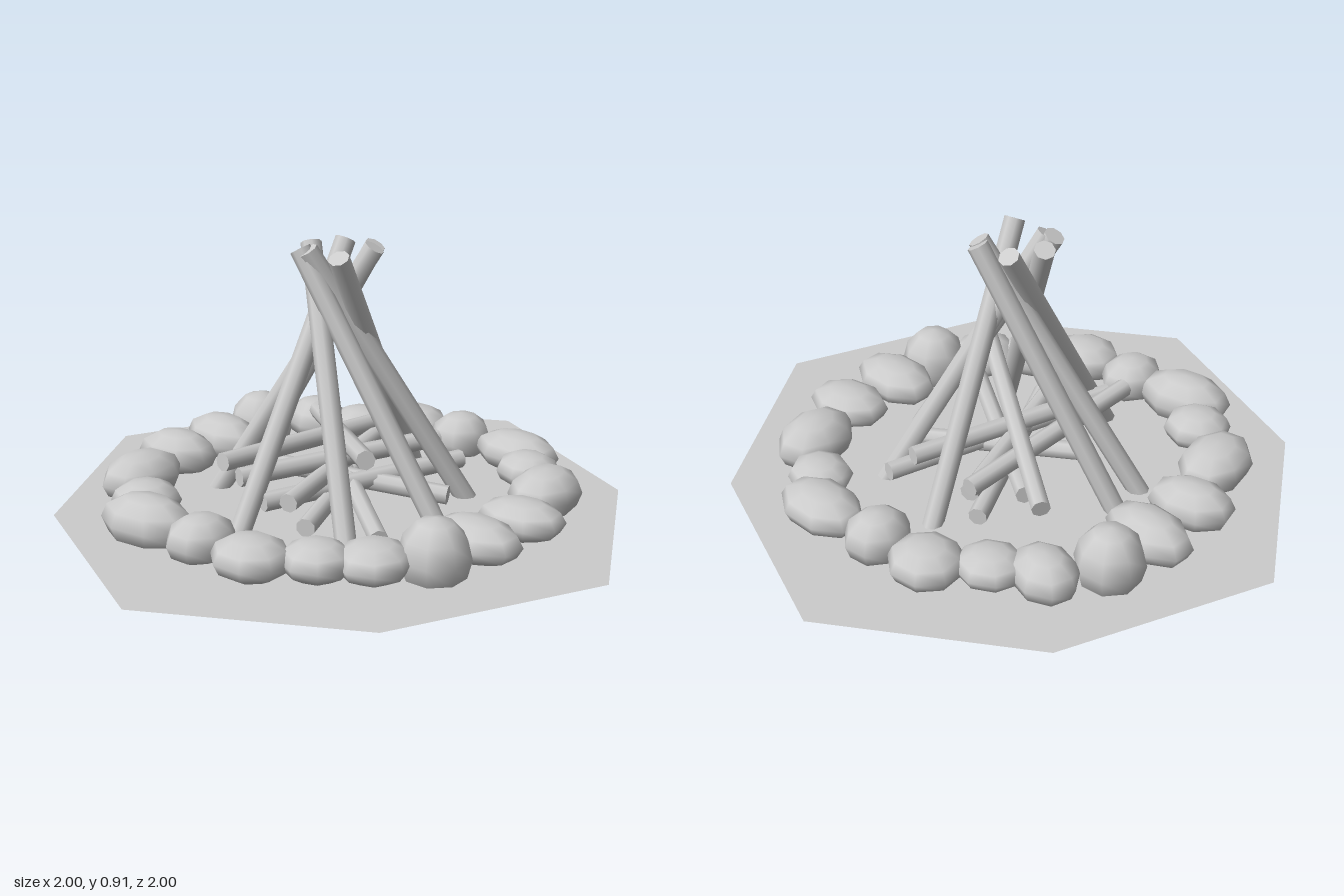
import * as THREE from 'three';

const material = new THREE.MeshStandardMaterial({ color: 0xcccccc });
const GROUND_Y = 0.04;

// Straight round stick between two points
function stick(name, from, to, radius) {
  const a = new THREE.Vector3(...from), b = new THREE.Vector3(...to);
  const dir = b.clone().sub(a);
  const mesh = new THREE.Mesh(new THREE.CylinderGeometry(radius, radius, dir.length(), 8), material);
  mesh.position.copy(a).add(b).multiplyScalar(0.5);
  mesh.quaternion.setFromUnitVectors(new THREE.Vector3(0, 1, 0), dir.normalize());
  mesh.name = name;
  return mesh;
}

// Faceted boulder: low sphere whose underside is flattened onto the ground
function stone(x, z, rx, rz, top, turn) {
  const mid = 0.1;
  const geo = new THREE.SphereGeometry(1, 8, 6);
  geo.rotateY(Math.PI / 8);
  geo.scale(rx * 1.04, top - mid, rz * 1.04);
  geo.rotateY(turn);
  const p = geo.attributes.position;
  for (let i = 0; i < p.count; i++) p.setY(i, Math.max(p.getY(i), GROUND_Y - mid));
  geo.computeBoundingSphere();
  const mesh = new THREE.Mesh(geo, material);
  mesh.position.set(x, mid, z);
  mesh.name = 'stone';
  return mesh;
}

export function createModel() {
  const model = new THREE.Group();
  model.name = 'campfire';

  // Flat eight-sided ground sheet
  const outline = new THREE.Shape();
  for (let i = 0; i < 8; i++) {
    const r = i % 2 ? 0.932 : 1, t = (i * Math.PI) / 4;
    outline[i ? 'lineTo' : 'moveTo'](r * Math.cos(t), r * Math.sin(t));
  }
  const sheet = new THREE.ShapeGeometry(outline);
  sheet.rotateX(-Math.PI / 2);
  const ground = new THREE.Mesh(sheet, new THREE.MeshStandardMaterial({ color: 0xcccccc, side: THREE.DoubleSide }));
  ground.position.y = GROUND_Y;
  ground.name = 'ground';
  model.add(ground);

  // Ring of stones: x, z, half width, half depth, top height, turn
  const ring = new THREE.Group();
  ring.name = 'stoneRing';
  [
    [-0.11, -0.63, 0.1, 0.14, 0.18, 0.15], [0.1, -0.61, 0.1, 0.155, 0.18, -0.15],
    [0.28, -0.59, 0.11, 0.11, 0.225, 0], [0.45, -0.47, 0.1, 0.12, 0.18, -0.4],
    [0.52, -0.32, 0.1, 0.11, 0.16, 0.4], [0.625, -0.155, 0.115, 0.12, 0.17, 0],
    [0.62, 0.045, 0.11, 0.1, 0.19, 0], [0.62, 0.28, 0.105, 0.155, 0.17, -0.1],
    [0.5, 0.4, 0.1, 0.11, 0.16, -0.4], [0.36, 0.555, 0.15, 0.11, 0.185, 0.15],
    [0.135, 0.61, 0.105, 0.14, 0.165, 0.1], [-0.08, 0.585, 0.105, 0.155, 0.17, -0.1],
    [-0.26, 0.56, 0.11, 0.11, 0.225, 0], [-0.4, 0.44, 0.12, 0.115, 0.165, 0.3],
    [-0.5, 0.305, 0.105, 0.11, 0.165, 0.3], [-0.605, 0.14, 0.115, 0.125, 0.17, 0],
    [-0.6, -0.065, 0.115, 0.1, 0.18, 0], [-0.605, -0.285, 0.105, 0.16, 0.19, 0.1],
    [-0.48, -0.415, 0.105, 0.11, 0.165, 0.3], [-0.34, -0.575, 0.155, 0.11, 0.18, 0.1],
  ].forEach((s) => ring.add(stone(...s)));
  model.add(ring);

  // Leaning poles: foot x, foot z, head x, head z
  const tent = new THREE.Group();
  tent.name = 'leaningPoles';
  [
    [-0.14, -0.42, 0.08, 0.07], [0, -0.43, 0.11, 0.05], [-0.42, -0.085, 0.11, -0.07],
    [0.42, 0, -0.1, 0.07], [0.31, 0.29, -0.08, -0.07], [0, 0.41, -0.08, -0.1],
    [-0.32, 0.28, 0.01, -0.13],
  ].forEach(([fx, fz, hx, hz]) => tent.add(stick('pole', [fx, 0.02, fz], [hx, 0.895, hz], 0.034)));
  model.add(tent);

  // Firewood piled flat under the poles
  const pile = new THREE.Group();
  pile.name = 'firewood';
  [
    [[-0.22, 0.32, 0.27], [0.31, 0.2, -0.35]],
    [[-0.35, 0.24, -0.2], [0.36, 0.2, -0.11]],
    [[-0.35, 0.17, 0.07], [0.35, 0.17, -0.1]],
    [[-0.34, 0.1, 0.13], [0.36, 0.1, -0.14]],
    [[-0.27, 0.1, 0.36], [0.22, 0.14, -0.22]],
    [[-0.32, 0.13, -0.06], [0.38, 0.13, 0.21]],
    [[-0.34, 0.2, -0.14], [0.34, 0.2, 0.14]],
    [[0.15, 0.1, 0.32], [-0.08, 0.15, -0.25]],
  ].forEach(([a, b]) => pile.add(stick('log', a, b, 0.031)));
  model.add(pile);

  return model;
}
